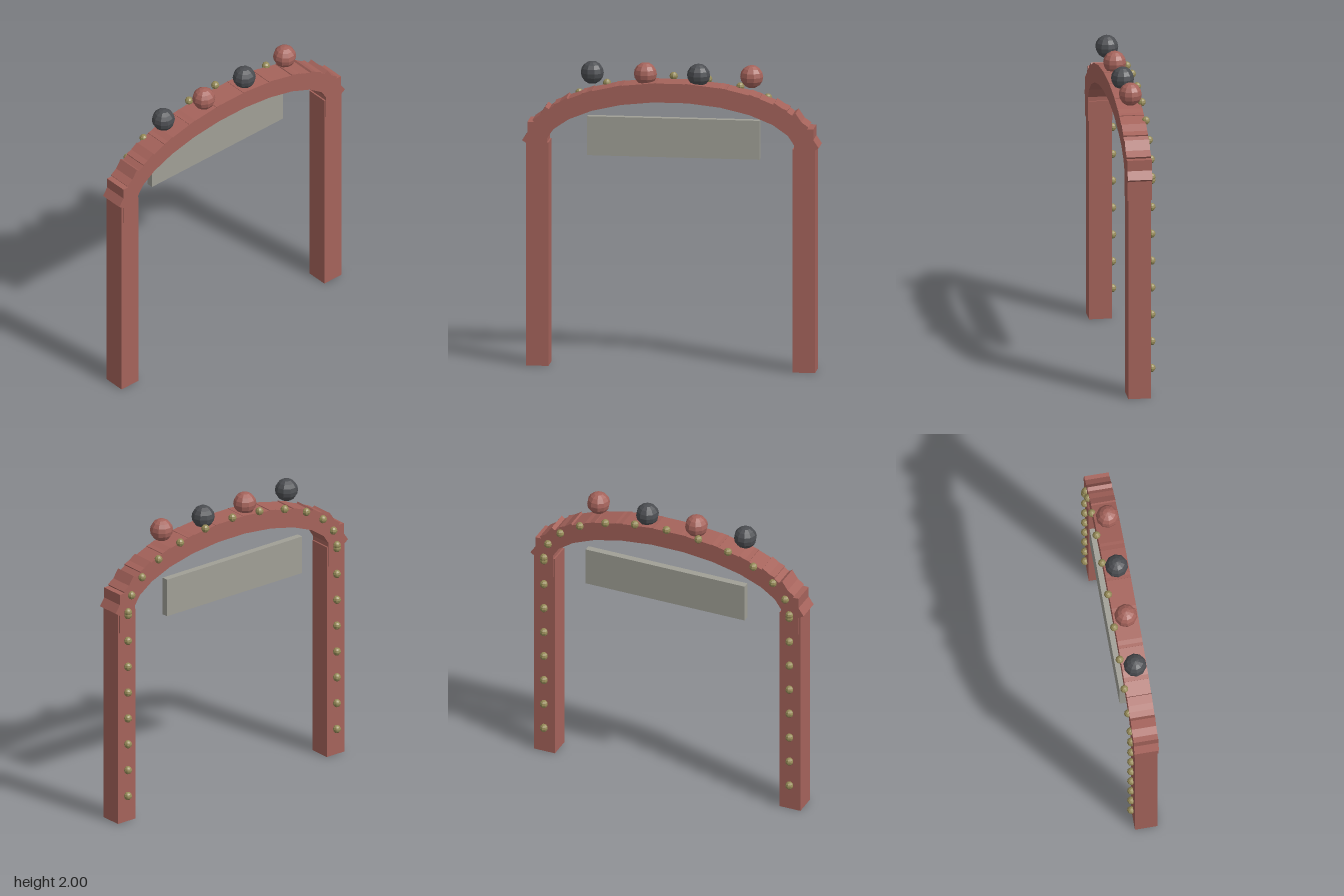
import * as THREE from 'three';

const paint = (color) => new THREE.MeshStandardMaterial({ color, flatShading: true });

export function createModel() {
  const model = new THREE.Group();
  const red = paint(0xa5635b);
  const dark = paint(0x4b4d51);
  const stone = paint(0xa09f96);
  const brass = paint(0x968b58);

  const add = (name, geometry, material, x, y, z, parent = model) => {
    const mesh = new THREE.Mesh(geometry, material);
    mesh.name = name;
    mesh.position.set(x, y, z);
    parent.add(mesh);
    return mesh;
  };
  const group = (name) => {
    const g = new THREE.Group();
    g.name = name;
    model.add(g);
    return g;
  };

  const RX = 0.865, SPRING = 1.47, Z = 0.016, STEPS = 12;

  // Two square posts
  const postGeo = new THREE.BoxGeometry(0.146, SPRING, 0.148);
  add('leftPost', postGeo, red, RX, SPRING / 2, Z);
  add('rightPost', postGeo, red, -RX, SPRING / 2, Z);

  // Arch of overlapping straight blocks on a half ellipse, with lights along its back
  const arch = group('arch');
  const lights = group('lights');
  const blockGeo = new THREE.BoxGeometry(0.27, 0.125, 0.16);
  const lightGeo = new THREE.SphereGeometry(0.027, 8, 6);
  for (let i = 0; i <= STEPS; i++) {
    const t = -Math.PI / 2 + (Math.PI * i) / STEPS;
    const s = Math.sin(t), c = Math.cos(t);
    const block = add('archBlock', blockGeo, red, RX * s, SPRING + 0.347 * c, Z, arch);
    block.rotation.z = Math.atan2(-0.347 * s, RX * c);
    add('archLight', lightGeo, brass, RX * s, SPRING + 0.427 * c, -0.07, lights);
  }

  // Lights up the back of each post
  for (const side of [-1, 1]) {
    for (let i = 1; i <= 8; i++) {
      add('postLight', lightGeo, brass, side * RX, 0.1812 * i, -0.07, lights);
    }
  }

  // Hanging sign board
  add('signBoard', new THREE.BoxGeometry(1.12, 0.256, 0.045), stone, 0, 1.493, -0.07);

  // Four balls of alternating colour above the arch
  const balls = group('balls');
  const ballGeo = new THREE.SphereGeometry(0.075, 10, 8);
  for (let i = 0; i < 4; i++) {
    add('ball', ballGeo, i % 2 ? red : dark, (i - 1.5) * 0.345, 1.925, Z, balls);
  }

  return model;
}
